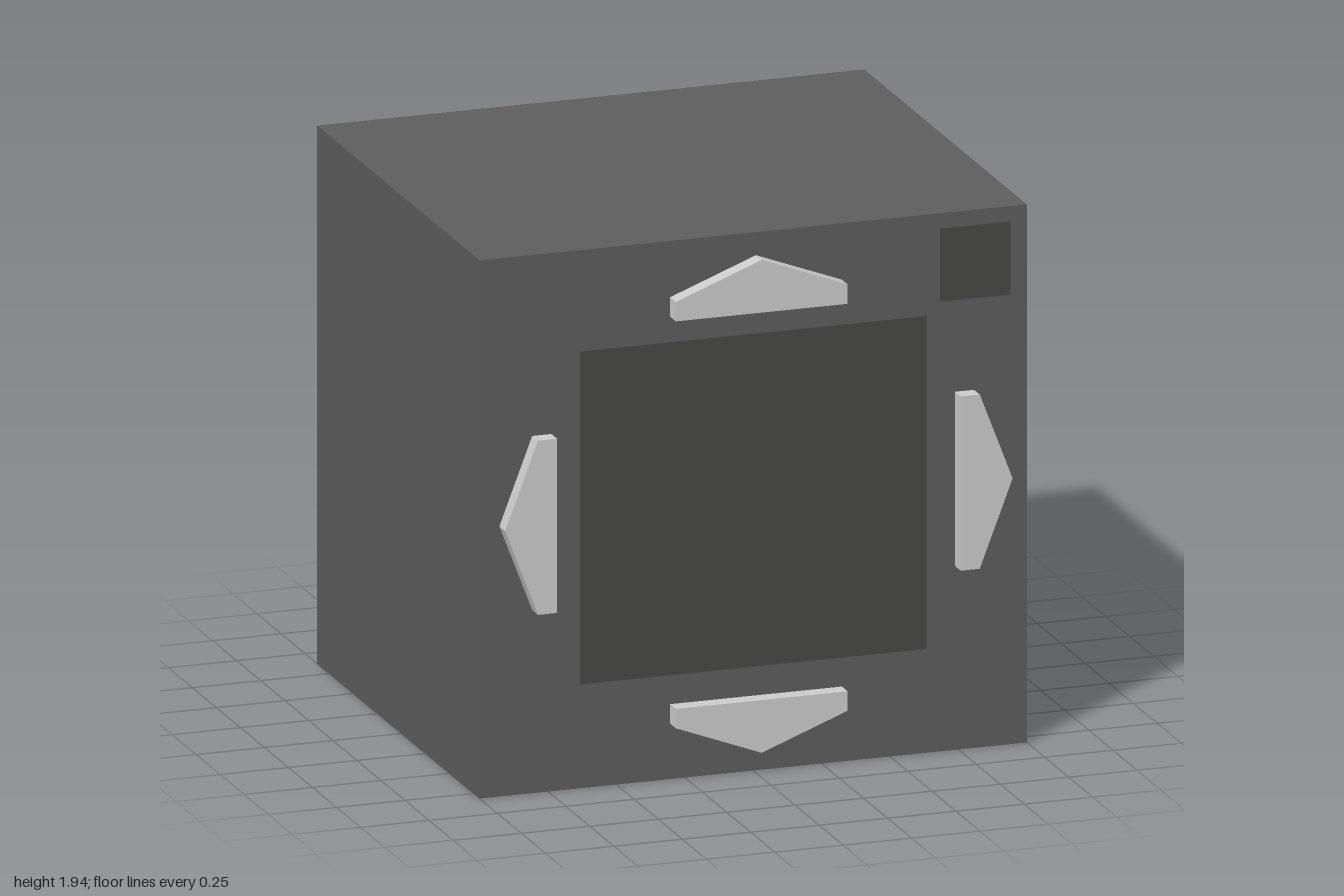
import * as THREE from 'three';

const FRONT = 0.815; // z of the front face

export function createModel() {
  const model = new THREE.Group();
  const dark = new THREE.MeshStandardMaterial({ color: 0x5d5d5d });
  const panel = new THREE.MeshStandardMaterial({ color: 0x474745 });
  const grey = new THREE.MeshStandardMaterial({ color: 0xcccccc });

  const add = (name, geometry, material, x, y, z) => {
    const mesh = new THREE.Mesh(geometry, material);
    mesh.name = name;
    mesh.position.set(x, y, z);
    model.add(mesh);
    return mesh;
  };

  // Body block
  add('body', new THREE.BoxGeometry(2, 1.94, 1.69), dark, 0, 0.97, FRONT - 0.845);

  // Panels lying almost flush on the front face
  add('screen', new THREE.BoxGeometry(1.265, 1.2, 0.004), panel, 0, 0.975, FRONT);
  add('cornerPanel', new THREE.BoxGeometry(0.257, 0.263, 0.004), panel, 0.811, 1.753, FRONT);

  // Five-sided arrow button, flat edge at y = 0 and tip pointing up
  const arrow = new THREE.Shape([
    [-0.314, 0], [0.314, 0], [0.314, 0.07], [0, 0.19], [-0.314, 0.07],
  ].map(([x, y]) => new THREE.Vector2(x, y)));
  const arrowGeometry = new THREE.ExtrudeGeometry(arrow, { depth: 0.06, bevelEnabled: false });

  // One button on each side of the screen, pointing outwards
  [
    ['upButton', 0.01, 1.667, 0],
    ['rightButton', -0.738, 0.974, Math.PI / 2],
    ['downButton', 0.01, 0.27, Math.PI],
    ['leftButton', 0.737, 0.977, -Math.PI / 2],
  ].forEach(([name, x, y, turn]) => {
    add(name, arrowGeometry, grey, x, y, FRONT).rotation.z = turn;
  });

  return model;
}
